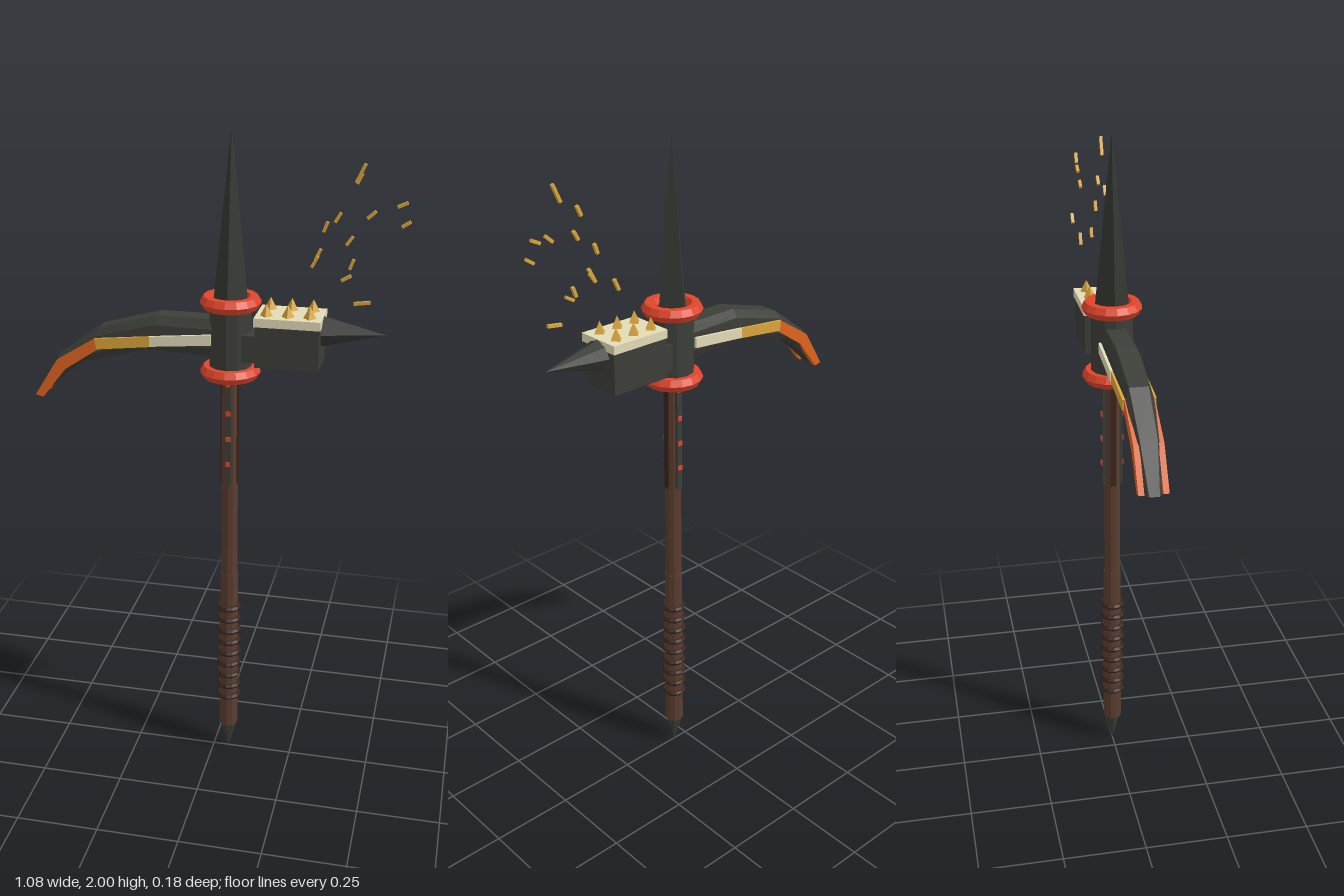
import * as THREE from 'three';

const mat = (name, color) => {
  const m = new THREE.MeshStandardMaterial({ color, flatShading: true });
  m.name = name;
  return m;
};

export function createModel() {
  const iron = mat('dark iron', 0x3c3e38);
  const steel = mat('blackened steel', 0x343731);
  const wood = mat('brown wood', 0x5a3d2f);
  const leather = mat('dark leather', 0x3a261e);
  const red = mat('red enamel', 0xe0452a);
  const orange = mat('orange inlay', 0xe0641f);
  const gold = mat('gold', 0xdba63a);
  const cream = mat('cream', 0xe3dbb8);

  const model = new THREE.Group();
  model.name = 'warHammer';
  const CX = 0.048; // axis of the shaft

  const add = (name, geo, material, x = 0, y = 0, z = 0, parent = model) => {
    const mesh = new THREE.Mesh(geo, material);
    mesh.name = name;
    mesh.position.set(x, y, z);
    parent.add(mesh);
    return mesh;
  };
  const box = (w, h, d) => new THREE.BoxGeometry(w, h, d);
  const cyl = (top, bottom, h, n) => new THREE.CylinderGeometry(top, bottom, h, n);

  // Shaft, grip and pointed butt
  add('shaft', cyl(0.024, 0.026, 1.22, 10), wood, CX, 0.7, 0);
  add('grip', cyl(0.027, 0.029, 0.55, 10), wood, CX, 0.37, 0);
  add('buttSpike', cyl(0.028, 0.001, 0.1, 8), iron, CX, 0.05, 0);
  for (let i = 0; i < 9; i++) {
    const ring = add('gripRing', new THREE.TorusGeometry(0.029, 0.009, 6, 12), leather, CX, 0.204 + i * 0.0402, 0);
    ring.rotation.x = Math.PI / 2;
  }

  // Riveted iron straps front and back, leather straps at the sides
  for (let i = 0; i < 4; i++) {
    const riveted = i % 2 === 0;
    const side = new THREE.Group();
    side.name = 'strap';
    side.position.x = CX;
    side.rotation.y = i * Math.PI / 2;
    add('strapPlate', box(0.018, 0.35, 0.009), riveted ? iron : leather, 0, 1.125, riveted ? 0.0255 : 0.022, side);
    if (riveted) {
      for (const y of [1.02, 1.1, 1.18, 1.27]) add('rivet', box(0.014, 0.014, 0.005), red, 0, y, 0.031, side);
    }
    model.add(side);
  }

  // Central socket, enamel rings and top spike
  add('socket', cyl(0.062, 0.062, 0.21, 12), iron, CX, 1.405, 0);
  for (const y of [1.304, 1.51]) {
    const ring = add('socketRing', new THREE.TorusGeometry(0.067, 0.021, 6, 16), red, CX, y, 0);
    ring.rotation.x = Math.PI / 2;
  }
  add('topSpike', new THREE.ConeGeometry(0.05, 0.49, 4), steel, CX, 1.755, 0);

  // Hammer block with studded face plate and side spike
  add('hammerNeck', box(0.06, 0.08, 0.09), iron, 0.108, 1.385, 0);
  add('hammerBlock', box(0.182, 0.125, 0.13), iron, 0.22, 1.4025, 0);
  add('facePlate', box(0.188, 0.025, 0.138), cream, 0.22, 1.4725, 0);
  for (const x of [0.157, 0.218, 0.279]) {
    for (const z of [-0.035, 0.035]) add('stud', new THREE.ConeGeometry(0.019, 0.036, 4), gold, x, 1.502, z);
  }
  const sideSpike = add('sideSpike', new THREE.ConeGeometry(0.045, 0.18, 8), steel, 0.399, 1.44, 0);
  sideSpike.rotation.z = -Math.PI / 2;

  // Curved pick: bevelled sections [topX, topY, bottomX, bottomY, half depth]
  const sections = [
    [0.03, 1.462, 0.03, 1.35, 0.04],
    [-0.16, 1.463, -0.19, 1.36, 0.04],
    [-0.335, 1.415, -0.385, 1.308, 0.038],
    [-0.463, 1.32, -0.455, 1.253, 0.034],
    [-0.542, 1.195, -0.518, 1.192, 0.02],
  ];
  const outline = [[0, 0.7], [0.25, 1], [0.75, 1], [1, 0.7], [1, -0.7], [0.75, -1], [0.25, -1], [0, -0.7]];
  const n = outline.length;
  const pos = [];
  const index = [];
  for (const [tx, ty, bx, by, d] of sections) {
    for (const [t, z] of outline) pos.push(tx + (bx - tx) * t, ty + (by - ty) * t, z * d);
  }
  for (let s = 0; s < sections.length - 1; s++) {
    for (let i = 0; i < n; i++) {
      const a = s * n + i, b = s * n + (i + 1) % n;
      index.push(a, a + n, b, b, a + n, b + n);
    }
  }
  const end = (sections.length - 1) * n;
  for (let i = 1; i < n - 1; i++) {
    index.push(0, i, i + 1);
    index.push(end, end + i + 1, end + i);
  }
  const pickGeo = new THREE.BufferGeometry();
  pickGeo.setAttribute('position', new THREE.Float32BufferAttribute(pos, 3));
  pickGeo.setIndex(index);
  pickGeo.computeVertexNormals();
  add('pick', pickGeo, iron);

  // Coloured inlays set into both sides of the pick
  const inlay = (name, points, material, outer) => {
    const depth = 0.016;
    const shape = new THREE.Shape(points.map(([x, y]) => new THREE.Vector2(x, y)));
    const geo = new THREE.ExtrudeGeometry(shape, { depth, bevelEnabled: false });
    add(name, geo, material, 0, 0, outer - depth);
    add(name, geo, material, 0, 0, -outer);
  };
  inlay('creamInlay', [[0, 1.39], [0, 1.421], [-0.18, 1.404], [-0.18, 1.374]], cream, 0.048);
  inlay('goldInlay', [[-0.175, 1.373], [-0.175, 1.404], [-0.345, 1.386], [-0.34, 1.354]], gold, 0.046);
  inlay('orangeInlay', [[-0.335, 1.354], [-0.345, 1.386], [-0.465, 1.31], [-0.535, 1.198], [-0.512, 1.192], [-0.44, 1.284]], orange, 0.041);

  // Flying sparks: x, y, z, tilt in degrees, length
  const sparks = [
    [0.403, 1.89, 0.035, 65, 0.055], [0.393, 1.86, -0.043, 65, 0.03], [0.347, 1.77, 0.035, 60, 0.03],
    [0.436, 1.78, 0.03, 42, 0.03], [0.513, 1.8, -0.02, 25, 0.03], [0.526, 1.75, -0.01, 33, 0.028],
    [0.37, 1.685, -0.06, 55, 0.03], [0.31, 1.735, 0, 70, 0.03], [0.285, 1.645, -0.05, 65, 0.035],
    [0.29, 1.65, 0.05, 62, 0.035], [0.385, 1.635, 0, 70, 0.03], [0.375, 1.605, 0.035, 30, 0.03],
    [0.422, 1.54, 0.043, 8, 0.045],
  ];
  for (const [x, y, z, tilt, length] of sparks) {
    const spark = add('spark', box(length, 0.009, 0.009), gold, x, y, z);
    spark.rotation.z = tilt * Math.PI / 180;
  }

  return model;
}
